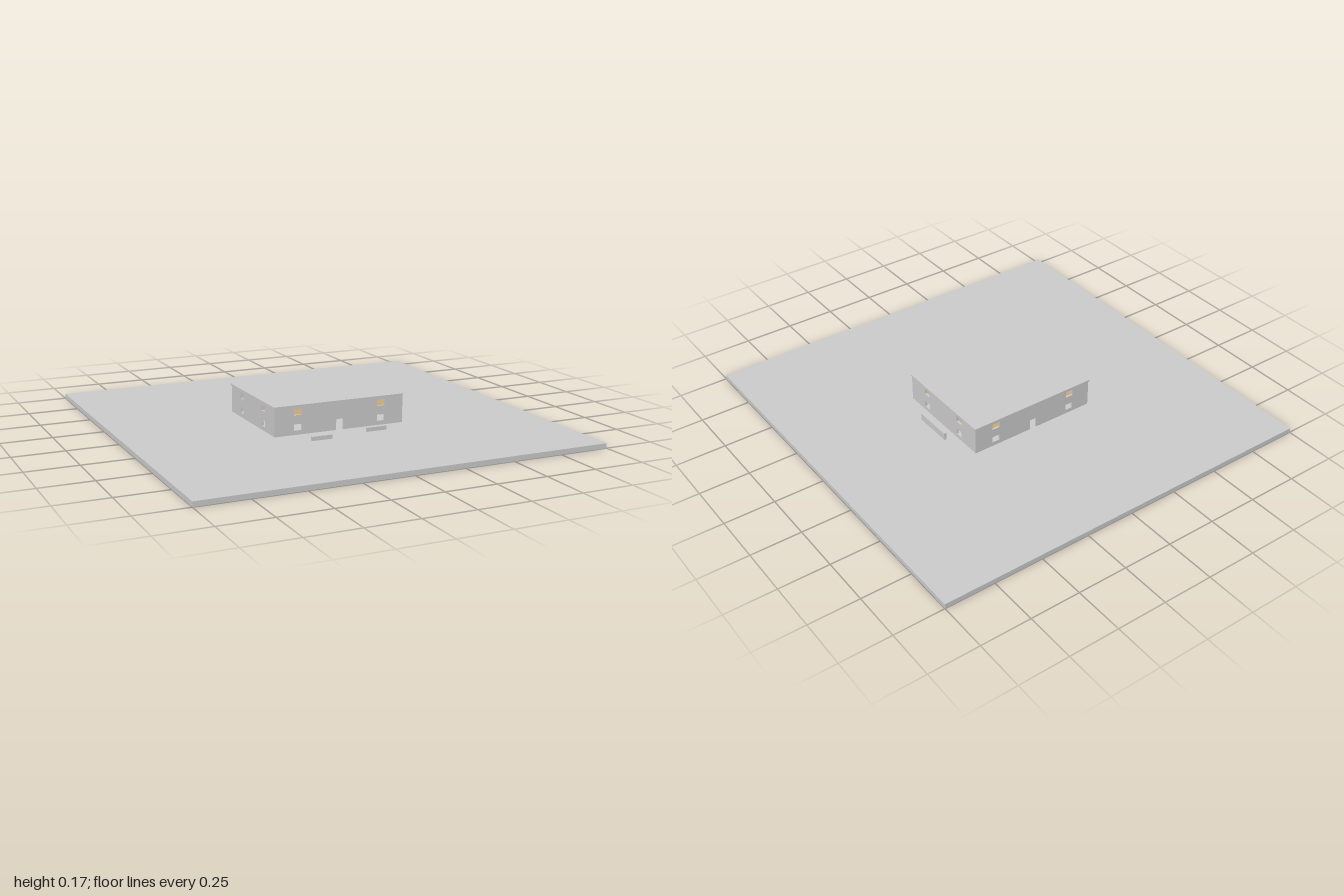
import * as THREE from 'three';

const grey = new THREE.MeshStandardMaterial({ color: 0xcccccc });
const tan = new THREE.MeshStandardMaterial({ color: 0xc8a878 });

const GROUND = 0.024, WALL_TOP = 0.161, ROOF_TOP = 0.168;
const HALF_X = 0.336, HALF_Z = 0.271, THICK = 0.01;

function rectPath(PathType, x0, x1, y0, y1) {
  const p = new PathType();
  p.moveTo(x0, y0);
  p.lineTo(x1, y0);
  p.lineTo(x1, y1);
  p.lineTo(x0, y1);
  p.closePath();
  return p;
}

export function createModel() {
  const model = new THREE.Group();
  model.name = 'buildingOnPlot';

  // Box given by its limits on each axis
  function box(name, x0, x1, y0, y1, z0, z1, material = grey) {
    const mesh = new THREE.Mesh(new THREE.BoxGeometry(x1 - x0, y1 - y0, z1 - z0), material);
    mesh.position.set((x0 + x1) / 2, (y0 + y1) / 2, (z0 + z1) / 2);
    mesh.name = name;
    model.add(mesh);
  }

  // Wall with two rows of windows and an optional doorway, outer face at the given distance
  function wall(name, half, windowX, distance, angle, hasDoor) {
    const shape = hasDoor
      ? new THREE.Shape([
        [-half, GROUND], [-0.019, GROUND], [-0.019, 0.077], [0.019, 0.077],
        [0.019, GROUND], [half, GROUND], [half, WALL_TOP], [-half, WALL_TOP],
      ].map(([x, y]) => new THREE.Vector2(x, y)))
      : rectPath(THREE.Shape, -half, half, GROUND, WALL_TOP);
    for (const side of [-1, 1]) {
      for (const y of [0.06, 0.134]) {
        const x = side * windowX;
        shape.holes.push(rectPath(THREE.Path, x - 0.02, x + 0.02, y - 0.015, y + 0.015));
      }
    }
    const geometry = new THREE.ExtrudeGeometry(shape, { depth: THICK, bevelEnabled: false });
    geometry.translate(0, 0, distance - THICK);
    geometry.rotateY(angle);
    const mesh = new THREE.Mesh(geometry, grey);
    mesh.name = name;
    model.add(mesh);
  }

  // Plot and building shell
  box('groundSlab', -1, 1, 0, GROUND, -1, 1);
  wall('frontWall', HALF_X, 0.218, HALF_Z, 0, true);
  wall('backWall', HALF_X, 0.218, HALF_Z, Math.PI, true);
  wall('leftWall', HALF_Z - THICK, 0.136, HALF_X, Math.PI / 2, false);
  wall('rightWall', HALF_Z - THICK, 0.136, HALF_X, -Math.PI / 2, false);
  box('roof', -0.34, 0.34, WALL_TOP, ROOF_TOP, -0.275, 0.275);

  // Upper floor and the partitions that divide each storey
  const ix = HALF_X - THICK, iz = HALF_Z - THICK;
  box('upperFloor', -ix, ix, 0.092, 0.099, -iz, iz, tan);
  box('lowerPartition', -0.003, 0.003, GROUND, 0.092, -iz + 0.05, iz - 0.05);
  box('upperLongPartition', -ix, ix, 0.099, WALL_TOP, -0.004, 0.004);
  for (const side of [-1, 1]) {
    const z0 = side < 0 ? -iz : 0.004;
    box('upperCrossPartition', -0.004, 0.004, 0.099, WALL_TOP, z0, z0 + iz - 0.004);
  }

  // Low free-standing walls outside
  box('frontRightLowWall', -0.205, -0.102, GROUND, 0.044, 0.391, 0.402);
  box('frontLeftLowWall', 0.097, 0.2, GROUND, 0.044, 0.353, 0.364);
  box('sideLowWall', 0.386, 0.398, GROUND, 0.061, -0.1, 0.1);

  return model;
}
